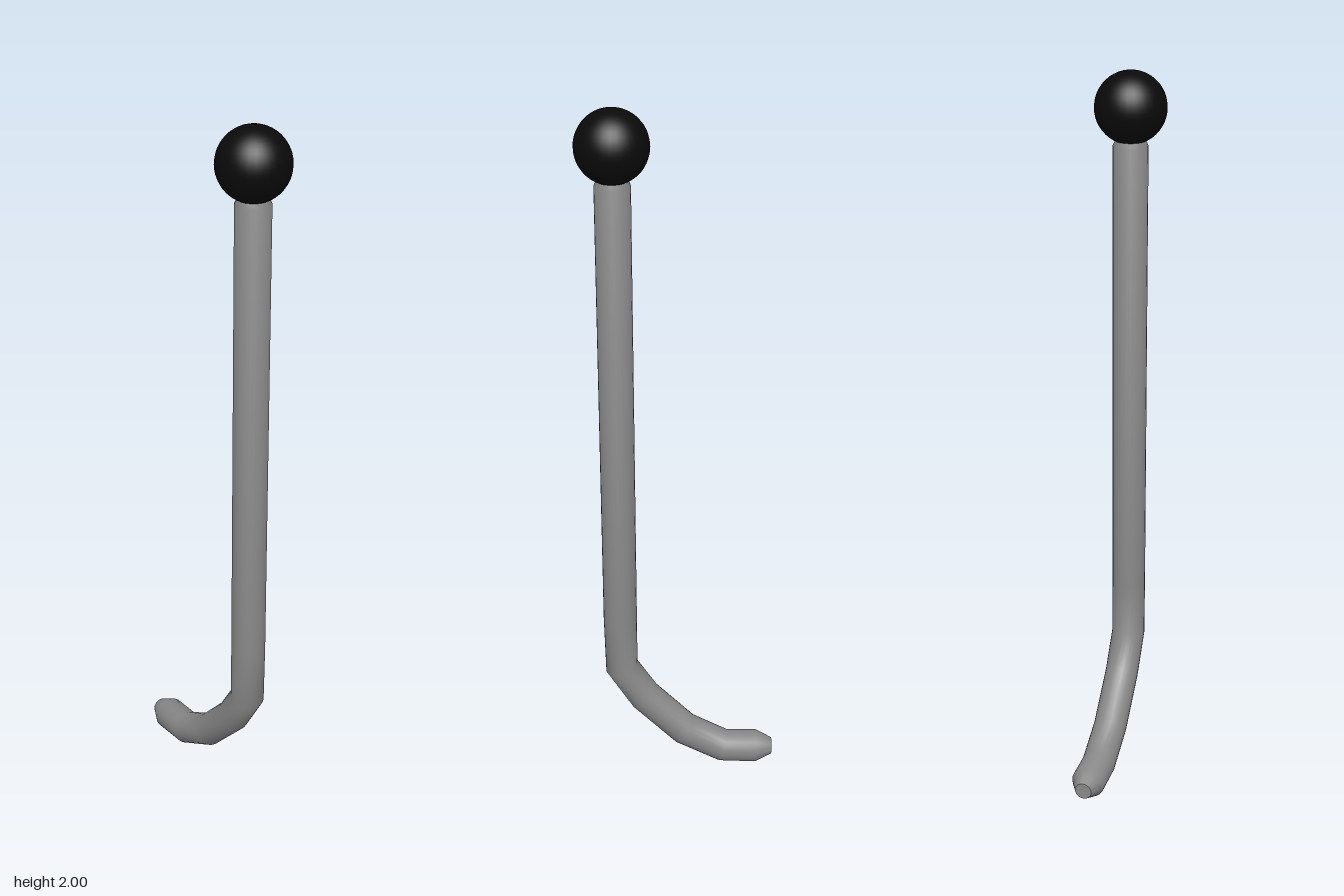
import * as THREE from 'three';
import { toCreasedNormals } from 'three/addons/utils/BufferGeometryUtils.js';

// Rod stations from top to tip: [x, y, radius]
const STATIONS = [
  [0.174, 1.85, 0.024],
  [0.174, 1.80, 0.048],
  [0.174, 0.50, 0.048],
  [0.172, 0.335, 0.048],
  [0.105, 0.23, 0.048],
  [-0.012, 0.112, 0.048],
  [-0.127, 0.052, 0.048],
  [-0.225, 0.05, 0.048],
  [-0.273, 0.05, 0.024],
];

// Bends a unit cylinder so that each of its rows becomes a ring at one station
function bentRod(stations, sides) {
  const last = stations.length - 1;
  const points = stations.map(([x, y]) => new THREE.Vector2(x, y));
  const direction = (a, b) => points[b].clone().sub(points[a]).normalize();
  const geometry = new THREE.CylinderGeometry(1, 1, 1, sides, last);
  const pos = geometry.attributes.position;
  for (let v = 0; v < pos.count; v++) {
    const i = Math.round((0.5 - pos.getY(v)) * last);
    const before = direction(Math.max(i - 1, 0), Math.max(i, 1));
    const after = direction(Math.min(i, last - 1), Math.min(i + 1, last));
    const tangent = before.add(after).normalize();
    const r = stations[i][2];
    const across = pos.getX(v) * r;
    pos.setXYZ(v, points[i].x - tangent.y * across, points[i].y + tangent.x * across, pos.getZ(v) * r);
  }
  return toCreasedNormals(geometry, 0.9);
}

export function createModel() {
  const model = new THREE.Group();
  model.name = 'lever';

  // Straight shaft curving into a hooked foot
  const rod = new THREE.Mesh(bentRod(STATIONS, 24), new THREE.MeshStandardMaterial({ color: 0x888888 }));
  rod.name = 'bentRod';
  model.add(rod);

  // Round grip on top
  const knob = new THREE.Mesh(
    new THREE.SphereGeometry(0.098, 32, 24),
    new THREE.MeshStandardMaterial({ color: 0x0a0a0a })
  );
  knob.name = 'knob';
  knob.position.set(0.174, 1.902, 0);
  model.add(knob);

  return model;
}
